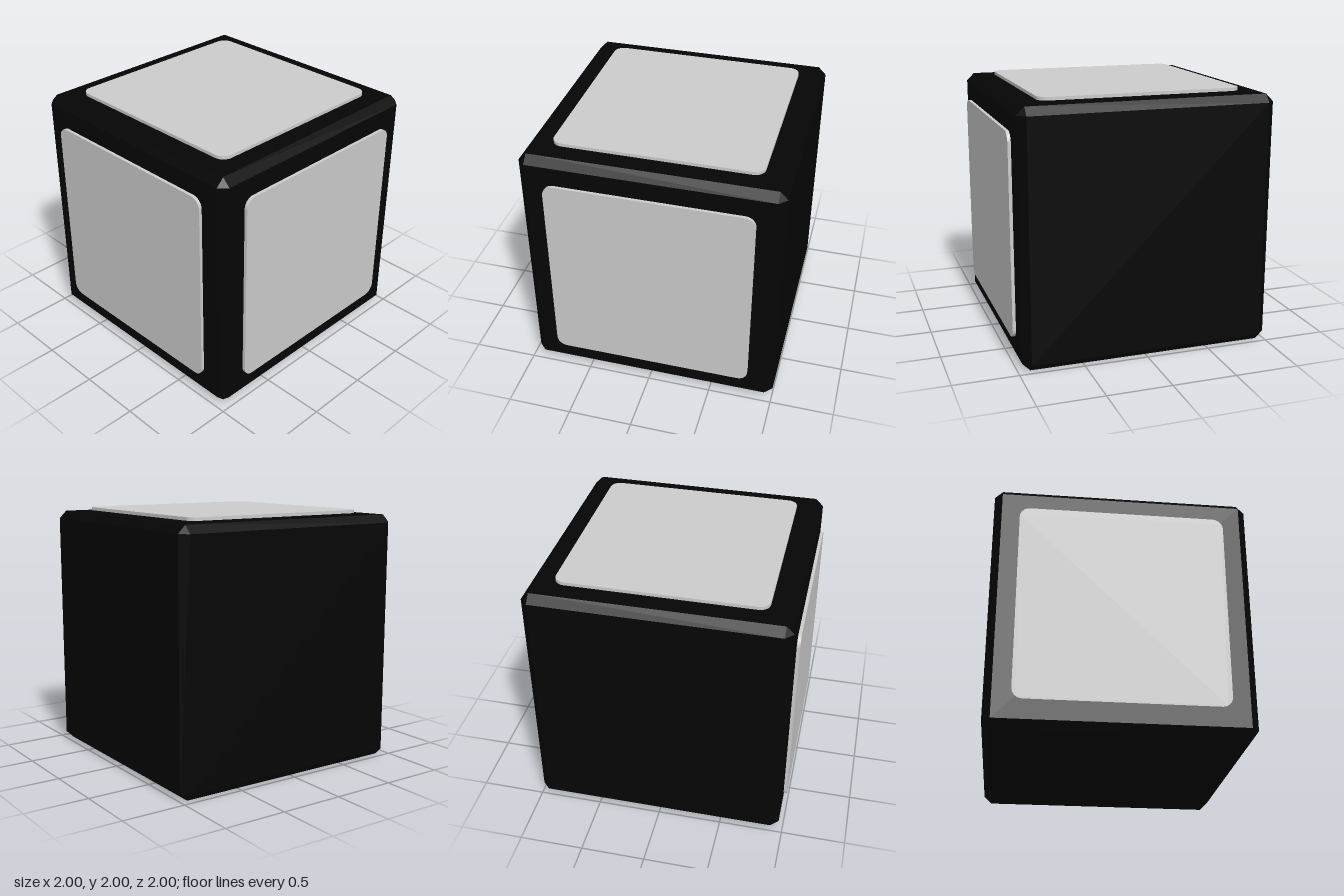
import * as THREE from 'three';
import { ConvexGeometry } from 'three/addons/geometries/ConvexGeometry.js';

const HALF = 0.983, CHAMFER = 0.06;        // body
const PANEL = 1.57, RADIUS = 0.08;         // panels
const INNER = 0.992, THICK = 0.025;        // panels float just off the faces

// Cube with every edge chamfered: three points at each corner
function chamferedCube(h, c) {
  const points = [];
  for (const x of [-1, 1]) for (const y of [-1, 1]) for (const z of [-1, 1]) {
    for (let axis = 0; axis < 3; axis++) {
      const size = [h - c, h - c, h - c];
      size[axis] = h;
      points.push(new THREE.Vector3(x * size[0], y * size[1], z * size[2]));
    }
  }
  return new ConvexGeometry(points);
}

// Thin square plate with rounded corners, lying outside the +z face
function panelGeometry() {
  const shape = new THREE.Shape();
  const s = PANEL / 2 - RADIUS;
  shape.absarc(s, s, RADIUS, 0, Math.PI / 2);
  shape.absarc(-s, s, RADIUS, Math.PI / 2, Math.PI);
  shape.absarc(-s, -s, RADIUS, Math.PI, Math.PI * 1.5);
  shape.absarc(s, -s, RADIUS, Math.PI * 1.5, Math.PI * 2);
  const geometry = new THREE.ExtrudeGeometry(shape, { depth: THICK, bevelEnabled: false, curveSegments: 10 });
  return geometry.translate(0, 0, INNER);
}

export function createModel() {
  const model = new THREE.Group();
  model.name = 'panelledCube';
  const black = new THREE.MeshStandardMaterial({ color: 0x050505 });
  const grey = new THREE.MeshStandardMaterial({ color: 0xcccccc });

  const body = new THREE.Mesh(chamferedCube(HALF, CHAMFER), black);
  body.name = 'body';
  model.add(body);

  // Panels on the front, top and right faces
  const geometry = panelGeometry();
  const panels = [
    ['frontPanel', 0, 0],
    ['topPanel', -Math.PI / 2, 0],
    ['rightPanel', 0, -Math.PI / 2],
  ];
  for (const [name, rx, ry] of panels) {
    const panel = new THREE.Mesh(geometry, grey);
    panel.name = name;
    panel.rotation.set(rx, ry, 0);
    model.add(panel);
  }

  // Offset so the body and panels together are centred
  model.position.set(0.017, HALF, -0.017);
  return model;
}
